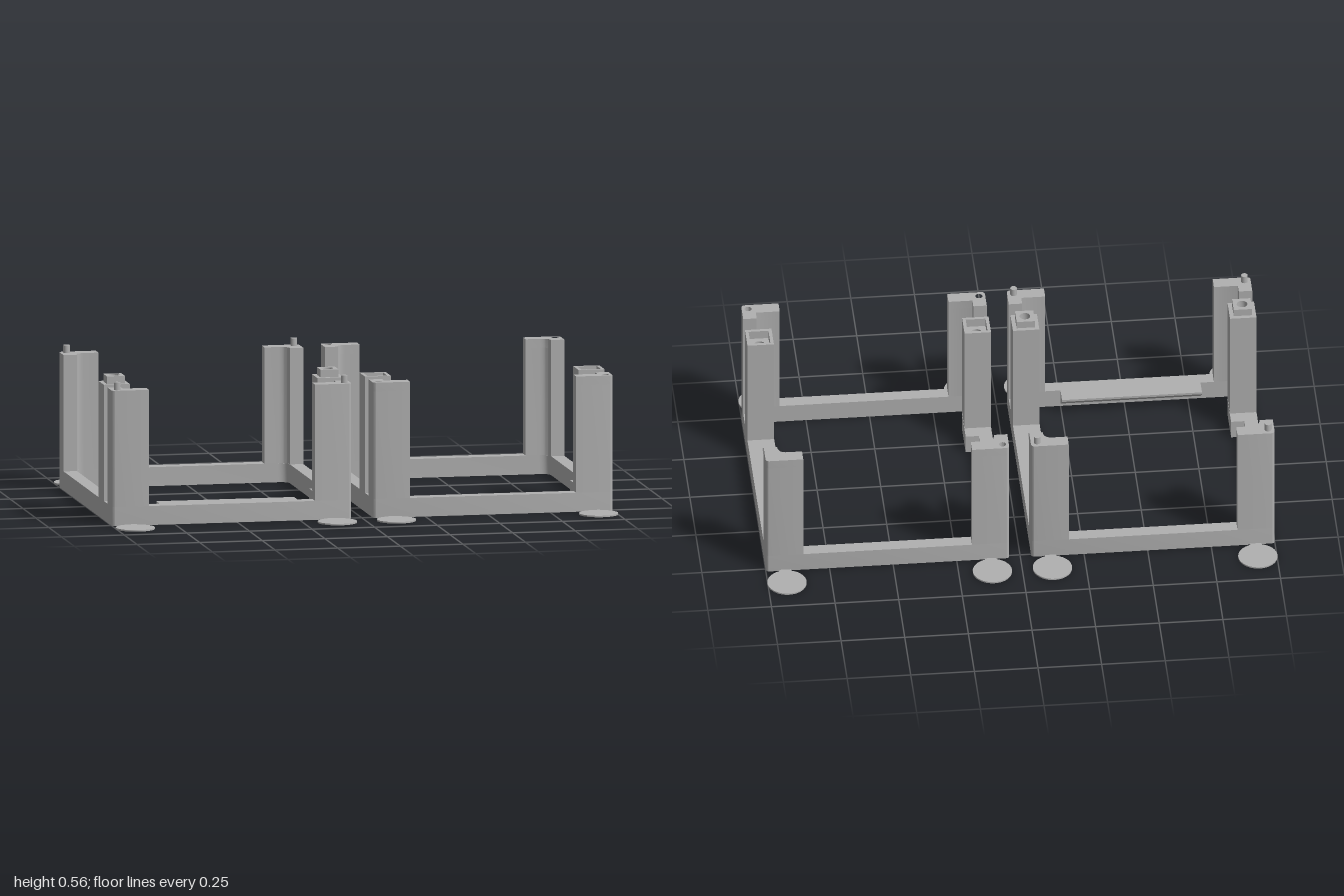
import * as THREE from 'three';
import { toCreasedNormals } from 'three/addons/utils/BufferGeometryUtils.js';

const W = 0.4785, D = 0.5175, T = 0.053; // frame half width, half depth, wall
const BAR = 0.075, TOP = 0.535, JOINT = 0.03; // bar height, post height, joint height
const ARM_X = 0.147, ARM_Z = 0.091;
const MID_X = W - 0.052, MID_Z = 0.302; // middle post centre
const PIN_X = W - 0.025, PIN_Z = D - 0.026;

const grey = new THREE.MeshStandardMaterial({ color: 0xb0b0b0 });
grey.name = 'printed grey';

// extrude a plan shape (shape y = -z) upwards from y0 to y1
function slab(name, shape, y0, y1) {
  let g = new THREE.ExtrudeGeometry(shape, { depth: y1 - y0, bevelEnabled: false, curveSegments: 8 });
  g.rotateX(-Math.PI / 2).translate(0, y0, 0);
  g = toCreasedNormals(g, 0.6);
  const m = new THREE.Mesh(g, grey);
  m.name = name;
  return m;
}

function square(x, y, h) {
  return new THREE.Shape([[-h, -h], [h, -h], [h, h], [-h, h]].map(([a, b]) => new THREE.Vector2(x + a, y + b)));
}

function circle(x, y, r) {
  return new THREE.Path().absarc(x, y, r, 0, Math.PI * 2, true);
}

// floor ring with widened feet for the middle posts and rounded rear corners
function ringShape() {
  const r = 0.015, f = 0.04, x = W - T, y = D - T, bx = W - 0.105;
  const s = new THREE.Shape();
  s.moveTo(-W + r, -D).lineTo(W - r, -D).quadraticCurveTo(W, -D, W, -D + r);
  s.lineTo(W, D - r).quadraticCurveTo(W, D, W - r, D);
  s.lineTo(-W + r, D).quadraticCurveTo(-W, D, -W, D - r);
  s.lineTo(-W, -D + r).quadraticCurveTo(-W, -D, -W + r, -D);
  const h = new THREE.Path();
  h.moveTo(-x, -y).lineTo(x, -y).lineTo(x, -0.352).lineTo(bx, -0.352).lineTo(bx, -0.195).lineTo(x, -0.195);
  h.lineTo(x, y - f).quadraticCurveTo(x, y, x - f, y);
  h.lineTo(-x + f, y).quadraticCurveTo(-x, y, -x, y - f);
  h.lineTo(-x, -0.195).lineTo(-bx, -0.195).lineTo(-bx, -0.352).lineTo(-x, -0.352).lineTo(-x, -y);
  s.holes.push(h);
  for (const sx of [-1, 1]) s.holes.push(circle(sx * MID_X, -MID_Z, 0.021));
  return s;
}

// L-shaped corner post; sx is the side, sz is +1 at the front
function cornerShape(sx, sz, hole) {
  const r = 0.015, f = sz < 0 ? 0.036 : 0.001;
  const s = new THREE.Shape();
  const X = (v) => sx * v, Y = (v) => -sz * v;
  s.moveTo(X(W - r), Y(D)).quadraticCurveTo(X(W), Y(D), X(W), Y(D - r));
  s.lineTo(X(W), Y(D - ARM_Z)).lineTo(X(W - T), Y(D - ARM_Z)).lineTo(X(W - T), Y(D - T - f));
  s.quadraticCurveTo(X(W - T), Y(D - T), X(W - T - f), Y(D - T));
  s.lineTo(X(W - ARM_X), Y(D - T)).lineTo(X(W - ARM_X), Y(D));
  if (hole) s.holes.push(circle(X(PIN_X), Y(PIN_Z), 0.014));
  return s;
}

function cornerPost(sx, sz, male) {
  const g = new THREE.Group();
  g.name = 'cornerPost';
  if (male) {
    const pin = new THREE.Mesh(new THREE.CylinderGeometry(0.013, 0.013, JOINT, 20), grey);
    pin.name = 'cornerPin';
    pin.position.set(sx * PIN_X, TOP + JOINT / 2, sz * PIN_Z);
    g.add(slab('postBody', cornerShape(sx, sz, false), BAR, TOP), pin);
  } else {
    g.add(slab('postBody', cornerShape(sx, sz, false), BAR, TOP - 0.035));
    g.add(slab('pinSocket', cornerShape(sx, sz, true), TOP - 0.035, TOP));
  }
  return g;
}

// square bored post ending in a plug or a socket
function middlePost(sx, male) {
  const x = sx * MID_X, y = -MID_Z;
  const g = new THREE.Group();
  g.name = 'middlePost';
  const body = square(x, y, 0.052), tip = square(x, y, male ? 0.036 : 0.052);
  body.holes.push(circle(x, y, 0.021));
  tip.holes.push(male ? circle(x, y, 0.021) : square(x, y, 0.039));
  const split = male ? TOP : TOP - 0.035;
  g.add(slab('postBody', body, BAR, split));
  g.add(slab(male ? 'plug' : 'socket', tip, split, male ? TOP + JOINT : TOP));
  return g;
}

// thin round pad joined to the frame by a short tab
function footPad(sx, sz) {
  const g = new THREE.Group();
  g.name = 'footPad';
  const x = sx * (W - 0.075);
  const disc = new THREE.Mesh(new THREE.CylinderGeometry(0.077, 0.077, 0.006, 40), grey);
  disc.name = 'padDisc';
  disc.position.set(x, 0.003, sz * 0.601);
  const tab = new THREE.Mesh(new THREE.BoxGeometry(0.045, 0.005, 0.05), grey);
  tab.name = 'padTab';
  tab.position.set(x, 0.0028, sz * (D + 0.015));
  g.add(disc, tab);
  return g;
}

function frame(name, male) {
  const g = new THREE.Group();
  g.name = name;
  g.add(slab('baseRing', ringShape(), 0, BAR));
  for (const sx of [-1, 1]) {
    g.add(middlePost(sx, male));
    for (const sz of [-1, 1]) g.add(cornerPost(sx, sz, male), footPad(sx, sz));
  }
  return g;
}

// wedge ledge with a sloping underside
function ledge() {
  const s = new THREE.Shape();
  s.moveTo(-0.466, 0.01).lineTo(-0.466, BAR).lineTo(-0.4, BAR).lineTo(-0.4, 0.066);
  const g = new THREE.ExtrudeGeometry(s, { depth: 0.55, bevelEnabled: false });
  g.rotateY(Math.PI / 2).translate(-0.8, 0, 0);
  const m = new THREE.Mesh(g, grey);
  m.name = 'ledge';
  return m;
}

export function createModel() {
  const model = new THREE.Group();
  model.name = 'stackingFrames';
  const plugFrame = frame('plugFrame', true);
  plugFrame.position.x = -1 + W;
  const socketFrame = frame('socketFrame', false);
  socketFrame.position.x = 1 - W;
  model.add(plugFrame, socketFrame, ledge());
  return model;
}
